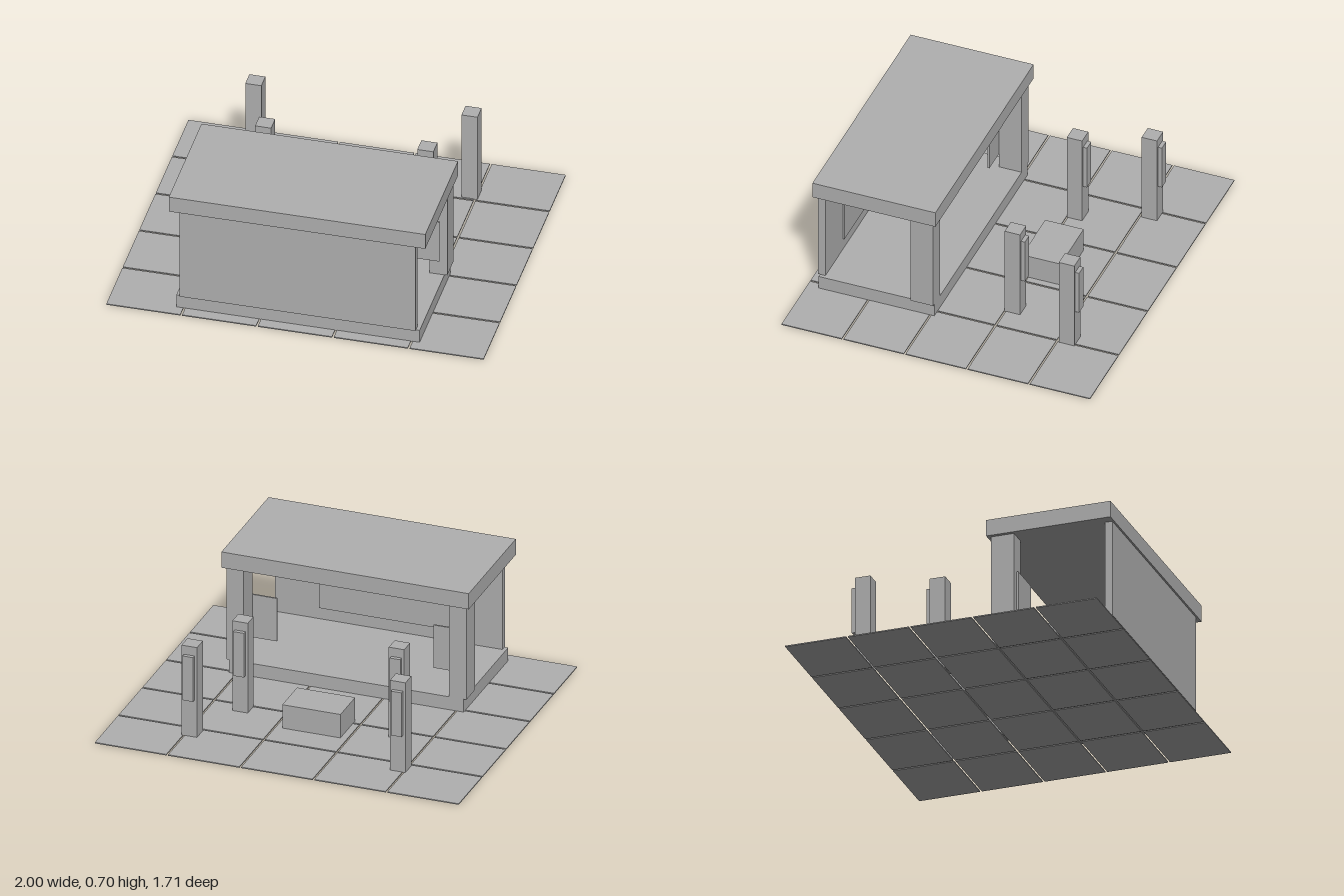
import * as THREE from 'three';

export function createModel() {
  const model = new THREE.Group();
  model.name = 'plazaStage';
  const stone = new THREE.MeshStandardMaterial({ name: 'plainGrey', color: 0xb0b0b0 });

  // Box given by its extents on each axis
  function block(name, [x0, x1], [y0, y1], [z0, z1], parent = model) {
    const mesh = new THREE.Mesh(new THREE.BoxGeometry(x1 - x0, y1 - y0, z1 - z0), stone);
    mesh.name = name;
    mesh.position.set((x0 + x1) / 2, (y0 + y1) / 2, (z0 + z1) / 2);
    parent.add(mesh);
    return mesh;
  }
  const around = (c, width) => [c - width / 2, c + width / 2];

  // Paved floor: five by five slabs with narrow joints
  const floor = new THREE.Group();
  floor.name = 'pavedFloor';
  model.add(floor);
  for (let i = -2; i <= 2; i++) {
    for (let j = -2; j <= 2; j++) {
      block('floorSlab', around(i * 0.402, 0.392), [0, 0.006], around(j * 0.3432, 0.333), floor);
    }
  }

  // Covered stage, open towards the rear
  const stage = new THREE.Group();
  stage.name = 'stage';
  model.add(stage);
  block('stageBase', [-0.645, 0.645], [0.004, 0.08], [0.15, 0.79], stage);
  block('stageWall', [-0.625, 0.625], [0.08, 0.61], [0.76, 0.80], stage);
  block('wallPanel', [-0.38, 0.38], [0.145, 0.485], [0.752, 0.76], stage);
  block('stageRoof', [-0.68, 0.68], [0.61, 0.70], [0.13, 0.81], stage);

  // Mirrored parts
  for (const side of [-1, 1]) {
    block('stageColumn', around(side * 0.6125, 0.095), [0.08, 0.61], [0.15, 0.275], stage);
    block('columnPanel', around(side * 0.525, 0.19), [0.165, 0.41], [0.275, 0.284], stage);

    // Free-standing posts with a raised plate on the rear face
    for (const [x, z] of [[0.573, -0.57], [0.43, -0.213]]) {
      const post = new THREE.Group();
      post.name = 'post';
      model.add(post);
      block('postShaft', around(side * x, 0.085), [0.004, 0.52], around(z, 0.085), post);
      block('postPlate', around(side * x, 0.058), [0.217, 0.47], [z - 0.064, z - 0.0425], post);
    }
  }

  // Low plinth between the posts
  block('plinth', [-0.16, 0.16], [0.004, 0.14], [-0.355, -0.142]);

  return model;
}
